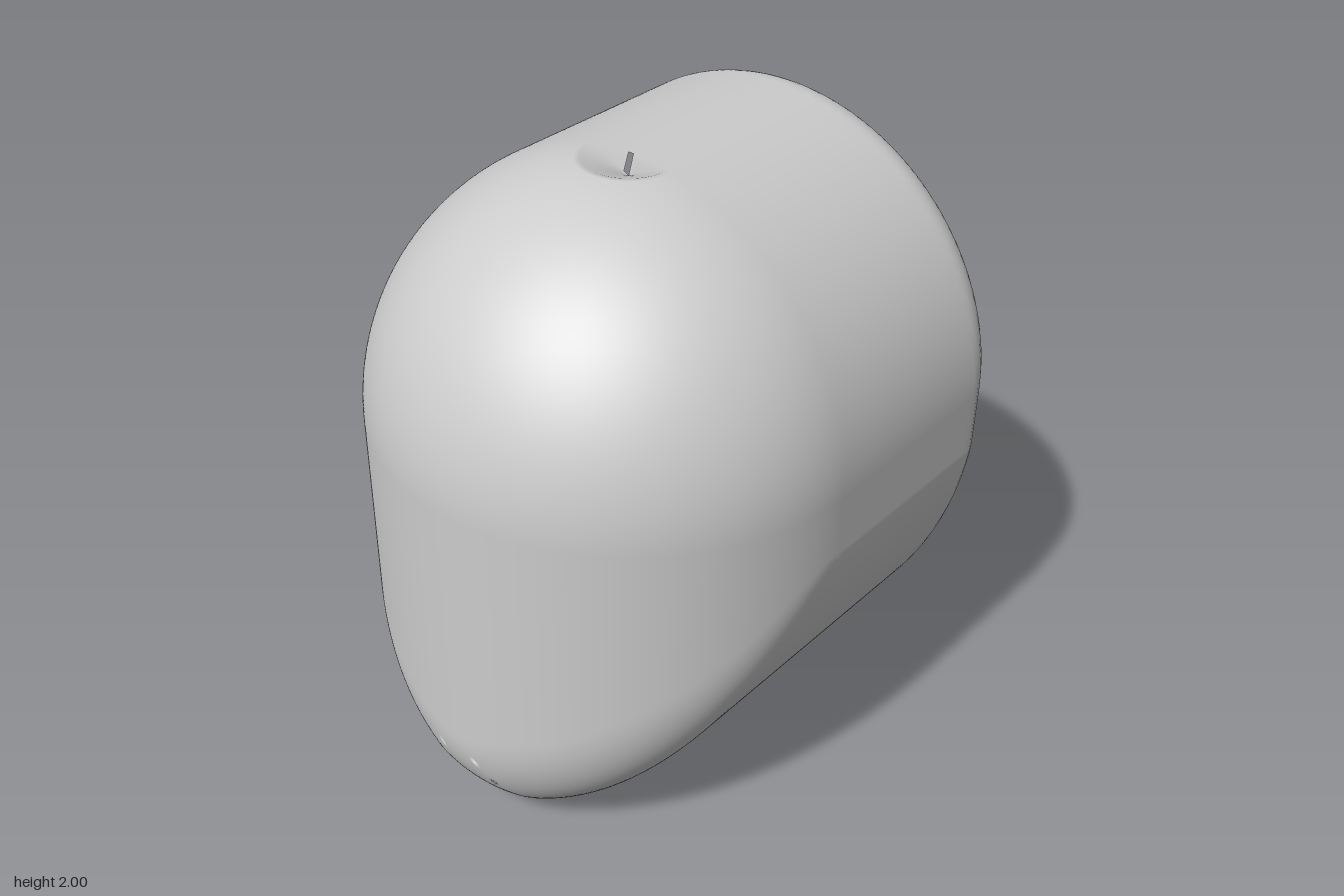
import * as THREE from 'three';

const R = 0.79;          // half width, rounded end and dome radius
const DOME_Y = 1.21;     // centre height of the dome
const CENTRE_Y = 1;      // origin of the projection rays
const BORE = 0.14;

// Signed distance to the egg-shaped outline in the y-z plane
function egg(y, z) {
  z = Math.abs(z);
  if (y > DOME_Y) return Math.hypot(z, y - DOME_Y) - R;
  if (z * 0.839 + (y - 0.4) * 0.545 < 0) return Math.hypot(z, y - 0.4) - 0.4;
  return Math.max(z - R, Math.hypot(z + 0.474, y - 1.13) - 1.27);
}

// Intersection of two surfaces, filleted with radius r; c = cosine between their normals
function fillet(d1, d2, r, c) {
  const a = d1 + r, b = d2 + r;
  if (a > 0 && b > 0 && a > c * b && b > c * a && c < 0.999) {
    return Math.sqrt((a * a + b * b - 2 * a * b * c) / (1 - c * c)) - r;
  }
  return Math.max(a, b) - r;
}

// Body: extruded egg, flat filleted end at +x, domed round end at -x
function body(x, y, z) {
  const d = egg(y, z);
  if (x >= 0) return fillet(d, x - R, 0.13, 0);
  if (y > DOME_Y) return Math.hypot(x, y - DOME_Y, z) - R;
  const rho = Math.hypot(x, z), e = 1e-4;
  const nz = (egg(y, z + e) - egg(y, z - e)) / (2 * e);
  return fillet(d, rho - R, 0.37, rho > 0 ? (nz * z) / rho : 0);
}

// Push a direction from the centre out to the body surface
function project(dir) {
  let lo = 0.1, hi = 2;
  for (let i = 0; i < 28; i++) {
    const t = (lo + hi) / 2;
    if (body(dir.x * t, CENTRE_Y + dir.y * t, dir.z * t) < 0) lo = t;
    else hi = t;
  }
  return dir.multiplyScalar(lo).add(new THREE.Vector3(0, CENTRE_Y, 0));
}

function surfaceNormal(p) {
  const e = 2e-3;
  return new THREE.Vector3(
    body(p.x + e, p.y, p.z) - body(p.x - e, p.y, p.z),
    body(p.x, p.y + e, p.z) - body(p.x, p.y - e, p.z),
    body(p.x, p.y, p.z + e) - body(p.x, p.y, p.z - e)
  ).normalize();
}

function shellGeometry() {
  const cols = 288, rows = 176;
  // The sphere stops short of the lower pole to leave the bore open
  const geo = new THREE.SphereGeometry(1, cols, rows, 0, Math.PI * 2, 0, Math.PI - Math.atan(BORE));
  const pos = geo.attributes.position, nor = geo.attributes.normal;
  const p = new THREE.Vector3();
  for (let i = 0; i < pos.count; i++) {
    project(p.fromBufferAttribute(pos, i).normalize());
    const n = surfaceNormal(p);
    // Small half-conical dent on top, on the domed side only
    const rho = Math.hypot(p.x, p.z), col = i % (cols + 1);
    const domedSide = col < cols / 4 || col > (cols * 3) / 4;
    if (domedSide && p.y > 1.5 && rho < BORE) {
      p.y -= 0.07 * (1 - rho / BORE);
      if (rho > 1e-4) n.add(new THREE.Vector3(-p.x, 0, -p.z).multiplyScalar(0.5 / rho)).normalize();
    }
    pos.setXYZ(i, p.x, p.y, p.z);
    nor.setXYZ(i, n.x, n.y, n.z);
  }
  return geo;
}

// Bore wall, its lower rim following the curved underside
function boreGeometry() {
  const top = 1.85;
  const geo = new THREE.CylinderGeometry(BORE, BORE, top, 48, 1, true);
  geo.translate(0, top / 2, 0);
  const pos = geo.attributes.position, p = new THREE.Vector3();
  for (let i = 0; i < pos.count; i++) {
    p.fromBufferAttribute(pos, i);
    if (p.y > 1) continue;
    p.y = -CENTRE_Y;
    project(p.normalize());
    pos.setXYZ(i, p.x, p.y, p.z);
  }
  return geo;
}

export function createModel() {
  const group = new THREE.Group();
  group.name = 'roundedBody';

  const shell = new THREE.Mesh(
    shellGeometry(),
    new THREE.MeshStandardMaterial({ color: 0xcccccc })
  );
  shell.name = 'shell';

  const inner = new THREE.MeshStandardMaterial({ color: 0xcccccc, side: THREE.DoubleSide });
  const bore = new THREE.Mesh(boreGeometry(), inner);
  bore.name = 'boreWall';

  const cap = new THREE.Mesh(new THREE.CircleGeometry(BORE, 48), inner);
  cap.name = 'boreEnd';
  cap.rotation.x = Math.PI / 2;
  cap.position.y = 1.85;

  group.add(shell, bore, cap);
  return group;
}
